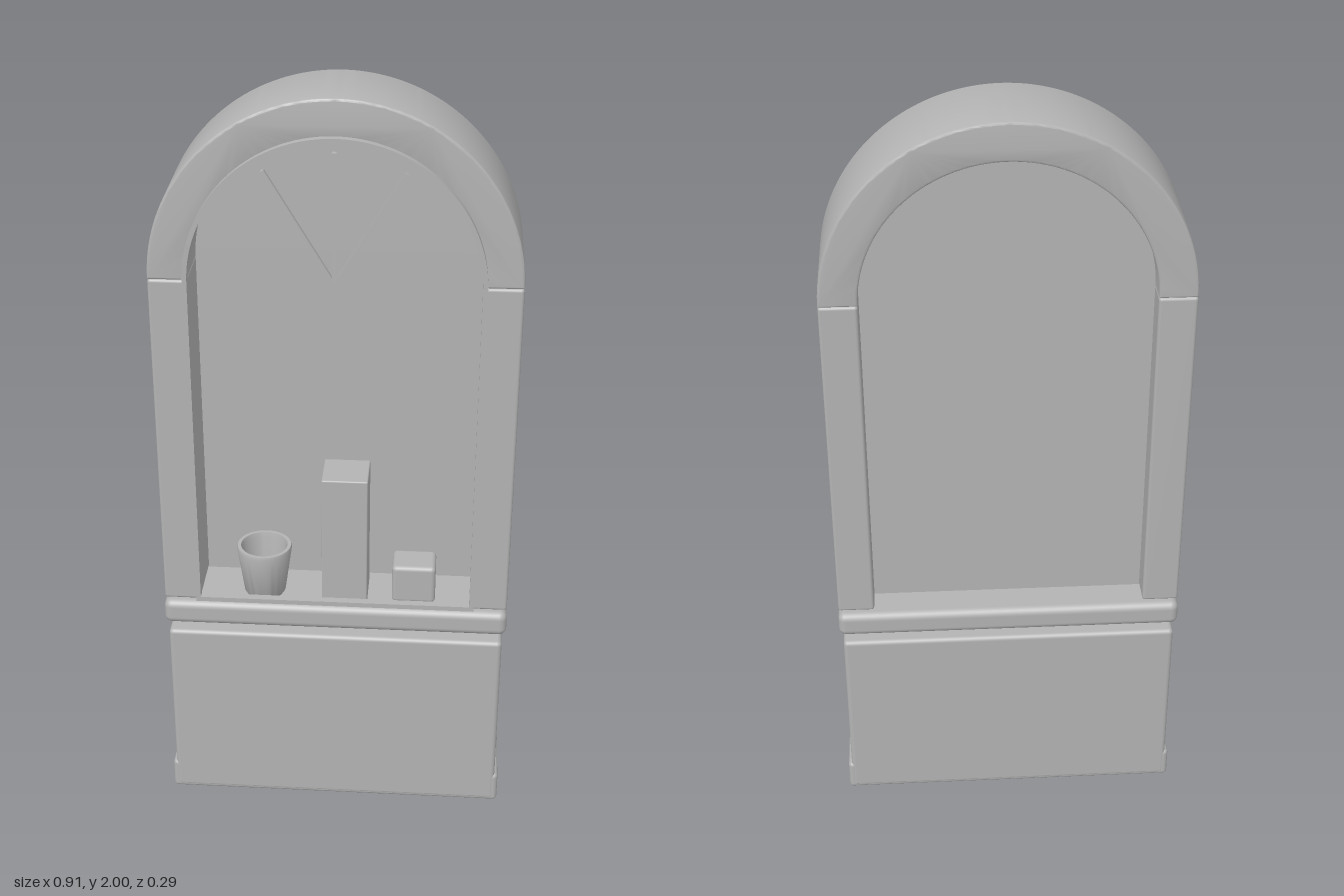
import * as THREE from 'three';
import { toCreasedNormals } from 'three/addons/utils/BufferGeometryUtils.js';
import { RoundedBoxGeometry } from 'three/addons/geometries/RoundedBoxGeometry.js';

const SPRING = 1.545; // height where the arch begins

export function createModel() {
  const model = new THREE.Group();
  model.name = 'archedDisplayNiche';
  const stone = new THREE.MeshStandardMaterial({ color: 0xb3b3b3 });
  stone.name = 'stoneGrey';

  const add = (name, geometry, x = 0, y = 0, z = 0) => {
    const mesh = new THREE.Mesh(geometry, stone);
    mesh.name = name;
    mesh.position.set(x, y, z);
    model.add(mesh);
    return mesh;
  };

  // Rounded block given by its extents
  const block = (name, x0, x1, y0, y1, z0, z1, r) =>
    add(name, new RoundedBoxGeometry(x1 - x0, y1 - y0, z1 - z0, 3, r),
      (x0 + x1) / 2, (y0 + y1) / 2, (z0 + z1) / 2);

  // Extrusion between z0 and z1, with an optional bevel kept inside the outline
  const extrude = (name, shape, z0, z1, bevel = 0) => {
    const g = new THREE.ExtrudeGeometry(shape, {
      depth: z1 - z0 - 2 * bevel, curveSegments: 48,
      bevelEnabled: bevel > 0, bevelThickness: bevel, bevelSize: bevel,
      bevelOffset: -bevel, bevelSegments: 3,
    });
    g.translate(0, 0, z0 + bevel);
    return add(name, toCreasedNormals(g, 0.6));
  };

  // Round-headed opening outline
  const archOutline = (target, r, bottom) => {
    target.moveTo(-r, bottom);
    target.lineTo(r, bottom);
    target.lineTo(r, SPRING);
    target.absarc(0, SPRING, r, 0, Math.PI, false);
    target.closePath();
    return target;
  };

  // Base, plinth and sill
  block('base', -0.447, 0.447, 0.005, 0.535, -0.144, 0.144, 0.012);
  block('plinth', -0.456, 0.456, 0, 0.09, -0.143, 0.143, 0.012);
  block('sill', -0.457, 0.457, 0.557, 0.627, -0.145, 0.145, 0.02);

  // Side jambs
  for (const [name, s] of [['leftJamb', 1], ['rightJamb', -1]]) {
    const c = s * 0.408;
    block(name, c - 0.048, c + 0.048, 0.627, SPRING, -0.122, 0.124, 0.008);
  }

  // Arch ring
  const ring = new THREE.Shape();
  ring.absarc(0, SPRING, 0.456, 0, Math.PI, false);
  ring.absarc(0, SPRING, 0.36, Math.PI, 0, true);
  ring.closePath();
  extrude('arch', ring, -0.122, 0.124, 0.006);

  // Recessed back panel
  extrude('backPanel', archOutline(new THREE.Shape(), 0.362, 0.62), -0.05, -0.038);

  // Thin trim around the opening
  const trim = archOutline(new THREE.Shape(), 0.368, 0.633);
  trim.holes.push(archOutline(new THREE.Path(), 0.356, 0.646));
  extrude('openingTrim', trim, 0.122, 0.143);

  // Fan of glazing bars
  for (const [name, angle] of [['centreBar', 0], ['leftBar', -0.54], ['rightBar', 0.54]]) {
    const bar = new THREE.BoxGeometry(0.01, 0.33, 0.012);
    bar.translate(0, 0.165, 0);
    add(name, bar, 0, SPRING, 0.126).rotation.z = angle;
  }

  // Objects on the shelf
  block('tallBox', -0.035, 0.085, 0.627, 1.0, 0, 0.12, 0.004);
  block('smallBox', 0.15, 0.265, 0.627, 0.737, 0.01, 0.105, 0.012);
  const cup = [[0, 0], [0.05, 0], [0.055, 0.008], [0.073, 0.135], [0.071, 0.143],
    [0.062, 0.143], [0.059, 0.13], [0.046, 0.02], [0, 0.02]]
    .map(([x, y]) => new THREE.Vector2(x, y));
  add('cup', toCreasedNormals(new THREE.LatheGeometry(cup, 40), 0.6), -0.192, 0.627, 0.065);

  return model;
}
